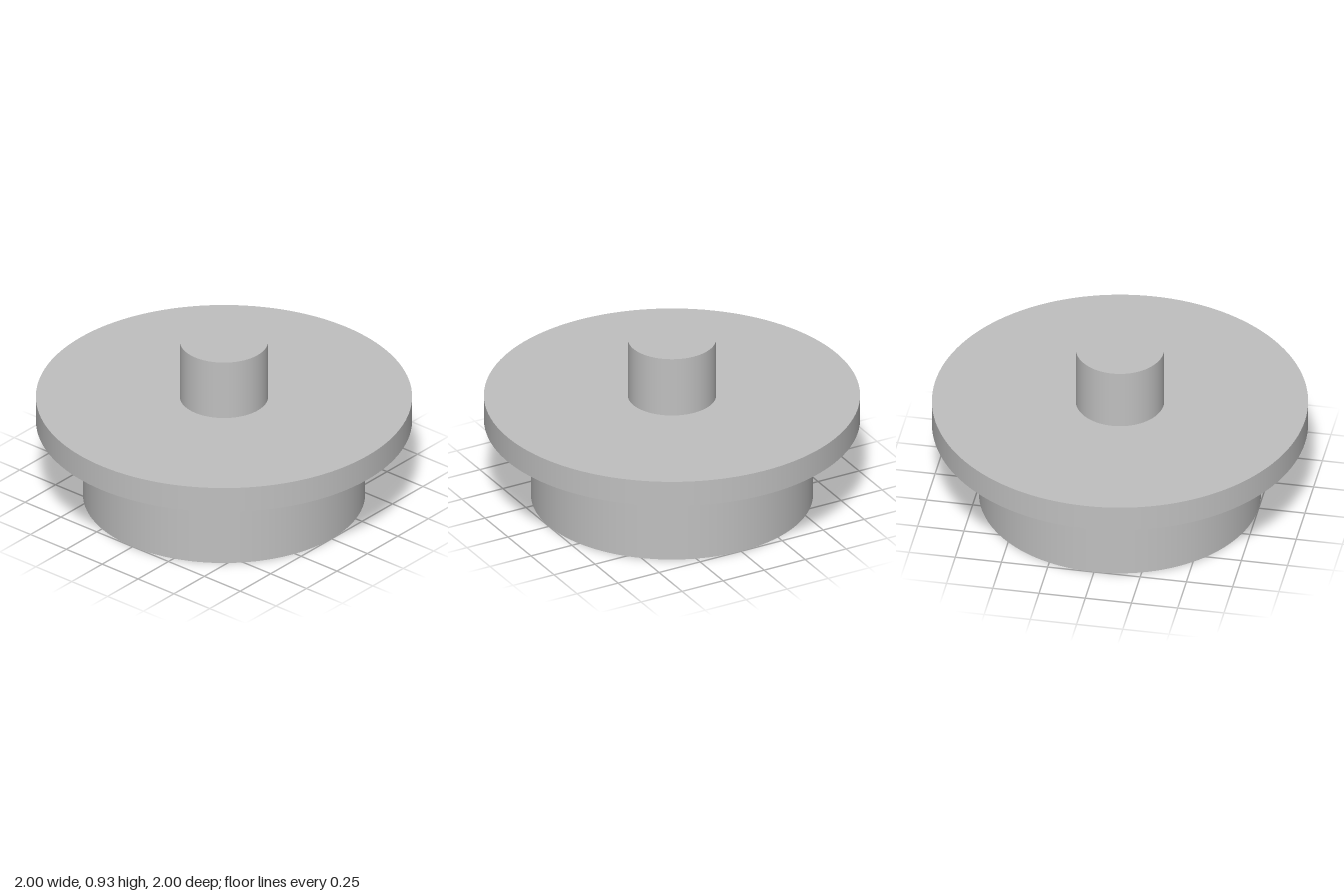
import * as THREE from 'three';

const SEG = 128;
const BASE_R = 0.75, FLANGE_R = 1, STEM_R = 0.235;
const FLANGE_Y = 0.45, FLANGE_TOP = 0.595, STEM_TOP = 0.932;
const RECESS = 0.055; // depth of the cross slot

// Outline of the slightly turned cross slot, in (x, z)
function crossPoints(length, half, turn) {
  const pts = [];
  for (let k = 0; k < 4; k++) {
    const a = turn + k * Math.PI / 2;
    for (const [x, y] of [[length, -half], [length, half], [half, half]]) {
      pts.push(new THREE.Vector2(x, y).rotateAround(new THREE.Vector2(), a));
    }
  }
  return pts;
}

export function createModel() {
  const model = new THREE.Group();
  model.name = 'steppedKnob';
  const grey = new THREE.MeshStandardMaterial({ color: 0xc0c0c0 });
  grey.name = 'plain grey';

  const add = (name, geometry, y, parent = model) => {
    const mesh = new THREE.Mesh(geometry, grey);
    mesh.name = name;
    mesh.position.y = y;
    parent.add(mesh);
    return mesh;
  };
  const side = (name, r, y0, y1) =>
    add(name, new THREE.CylinderGeometry(r, r, y1 - y0, SEG, 1, true), (y0 + y1) / 2);
  const flat = (name, geometry, y, up, parent) =>
    add(name, geometry.rotateX(up ? -Math.PI / 2 : Math.PI / 2), y, parent);

  // Stepped round body
  side('baseSide', BASE_R, 0, FLANGE_Y);
  flat('flangeUnderside', new THREE.RingGeometry(BASE_R, FLANGE_R, SEG), FLANGE_Y, false);
  side('flangeRim', FLANGE_R, FLANGE_Y, FLANGE_TOP);
  flat('flangeTop', new THREE.RingGeometry(STEM_R, FLANGE_R, SEG), FLANGE_TOP, true);
  side('stemSide', STEM_R, FLANGE_TOP, STEM_TOP);
  flat('stemTop', new THREE.CircleGeometry(STEM_R, SEG), STEM_TOP, true);

  // Underside with the cross cut out
  const cross = crossPoints(0.353, 0.06, THREE.MathUtils.degToRad(5));
  const disc = new THREE.Shape().absarc(0, 0, BASE_R, 0, Math.PI * 2, false);
  disc.holes.push(new THREE.Path(cross));
  flat('baseUnderside', new THREE.ShapeGeometry(disc, SEG / 2), 0, false);

  // Cross slot: floor and inward-facing walls
  const slot = new THREE.Group();
  slot.name = 'crossSlot';
  model.add(slot);
  flat('slotFloor', new THREE.ShapeGeometry(new THREE.Shape(cross)), RECESS, false, slot);
  cross.forEach((p, i) => {
    const q = cross[(i + 1) % cross.length];
    const wall = add('slotWall', new THREE.PlaneGeometry(p.distanceTo(q), RECESS), RECESS / 2, slot);
    wall.position.x = (p.x + q.x) / 2;
    wall.position.z = (p.y + q.y) / 2;
    wall.rotation.y = Math.atan2(p.y - q.y, q.x - p.x);
  });

  return model;
}
